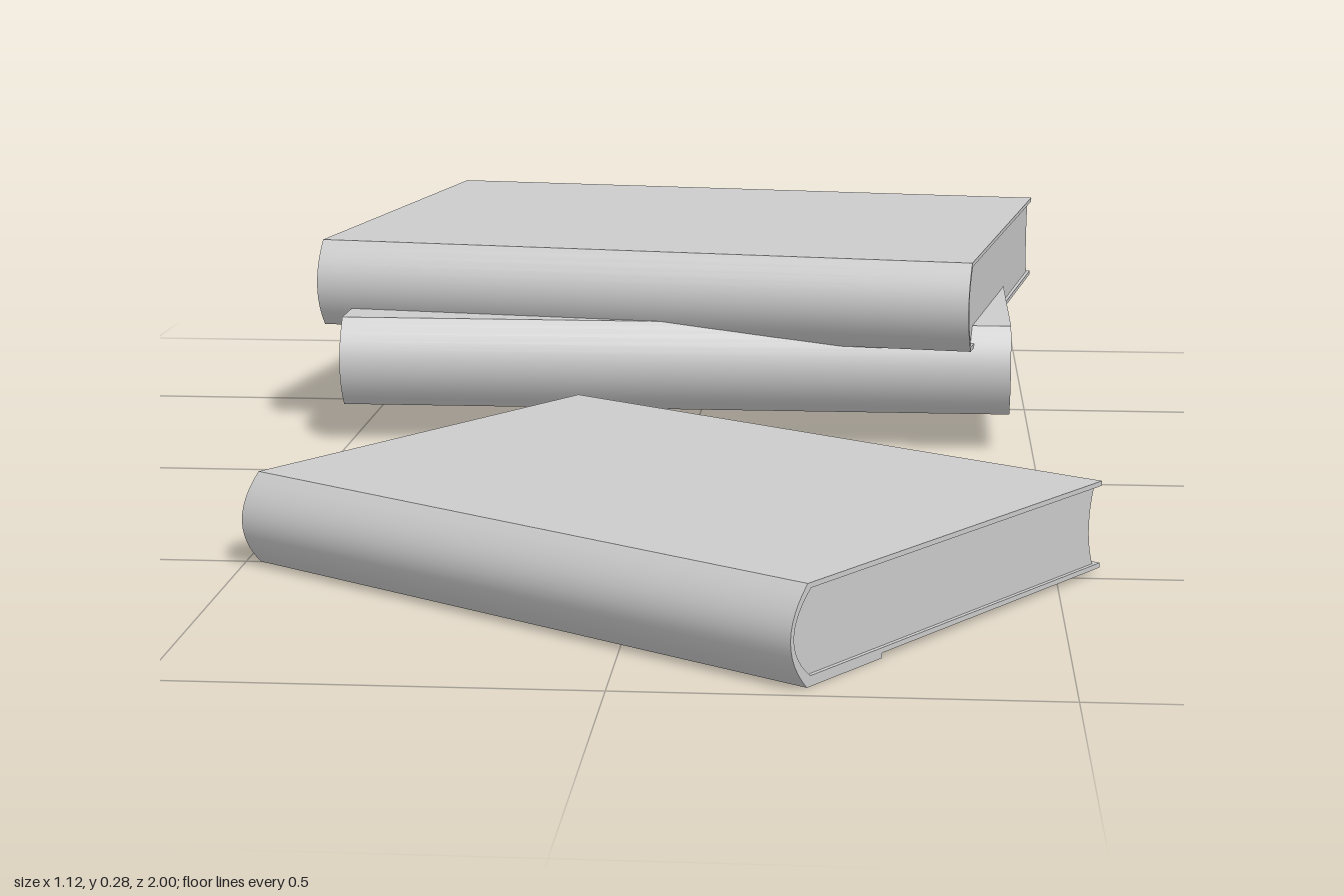
import * as THREE from 'three';
import { toCreasedNormals } from 'three/addons/utils/BufferGeometryUtils.js';

const BOARD = 0.006; // cover thickness
const ROUND = 0.03; // depth of the rounded spine

// Extrude a cross-section along the book's length (local x), spine towards +z
function extrudeAlongX(shape, length) {
  const geometry = new THREE.ExtrudeGeometry(shape, {
    depth: length, bevelEnabled: false, curveSegments: 12,
  });
  geometry.translate(0, 0, -length / 2);
  geometry.rotateY(Math.PI / 2);
  return toCreasedNormals(geometry, 0.6);
}

// C-shaped cover: two boards joined by a rounded spine; step lowers the spine strip
function coverShape(width, height, step) {
  const s = -width / 2, e = width / 2;
  const shape = new THREE.Shape();
  shape.moveTo(e, height);
  shape.lineTo(s + ROUND, height);
  shape.quadraticCurveTo(s - ROUND, height / 2, s + ROUND, 0);
  if (step > 0) {
    shape.lineTo(s + 0.17, 0);
    shape.lineTo(s + 0.17, step);
  }
  shape.lineTo(e, step);
  shape.lineTo(e, step + BOARD);
  shape.lineTo(s + ROUND + BOARD, step + BOARD);
  shape.quadraticCurveTo(s - ROUND + BOARD, height / 2, s + ROUND + BOARD, height - BOARD);
  shape.lineTo(e, height - BOARD);
  shape.closePath();
  return shape;
}

// Page block: follows the spine, with a slightly hollow fore edge
function pageShape(width, height, step) {
  const s = -width / 2 + BOARD, e = width / 2 - 0.01;
  const low = step + BOARD, high = height - BOARD, mid = height / 2;
  const shape = new THREE.Shape();
  shape.moveTo(e, high);
  shape.lineTo(s + ROUND, high);
  shape.quadraticCurveTo(s - ROUND, mid, s + ROUND, low);
  shape.lineTo(e, low);
  shape.quadraticCurveTo(e - 0.02, mid, e, high);
  return shape;
}

function makeBook({ name, length, width, height, position, turn, step = 0 }) {
  const material = new THREE.MeshStandardMaterial({ color: 0xcccccc, side: THREE.DoubleSide });
  const book = new THREE.Group();
  book.name = name;
  const cover = new THREE.Mesh(extrudeAlongX(coverShape(width, height, step), length), material);
  cover.name = 'cover';
  const pages = new THREE.Mesh(extrudeAlongX(pageShape(width, height, step), length - 0.01), material);
  pages.name = 'pages';
  book.add(cover, pages);
  book.position.set(...position);
  book.rotation.y = turn;
  return book;
}

export function createModel() {
  const model = new THREE.Group();
  model.name = 'books';
  model.add(
    makeBook({
      name: 'lowerBook', length: 0.975, width: 0.74, height: 0.13,
      position: [-0.022, 0.056, -0.535], turn: 0,
    }),
    makeBook({
      name: 'upperBook', length: 0.975, width: 0.744, height: 0.128,
      position: [-0.021, 0.157, -0.559], turn: -0.157,
    }),
    makeBook({
      name: 'frontBook', length: 0.84, width: 0.637, height: 0.115,
      position: [0.028, 0, 0.497], turn: -0.597, step: 0.006,
    }),
  );
  return model;
}
